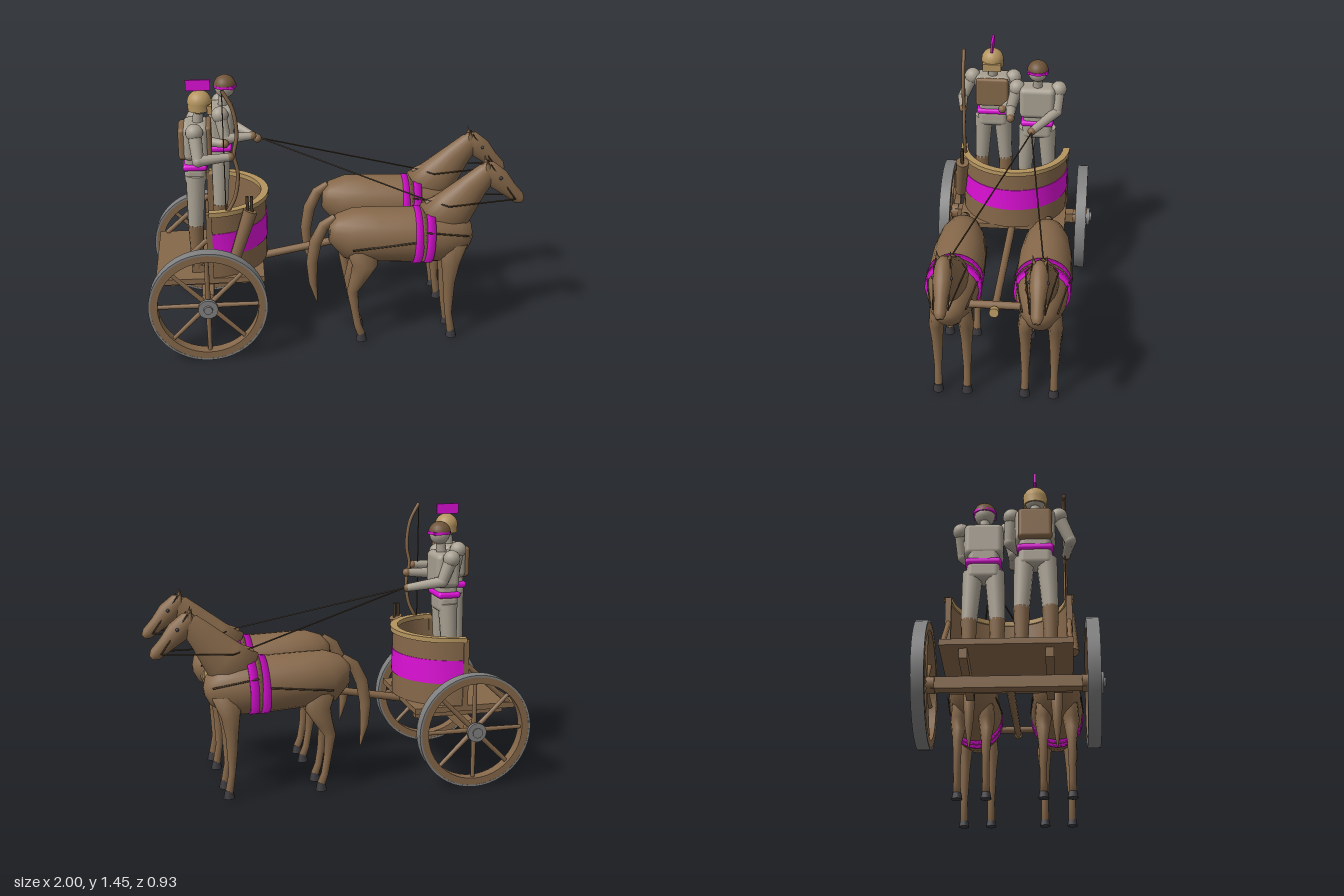
import * as THREE from 'three';
import { toCreasedNormals } from 'three/addons/utils/BufferGeometryUtils.js';
import { RoundedBoxGeometry } from 'three/addons/geometries/RoundedBoxGeometry.js';

const mat = (name, color, side = THREE.FrontSide) =>
  Object.assign(new THREE.MeshStandardMaterial({ color, side }), { name });
const V = (p) => new THREE.Vector3(...p);

export function createModel() {
  const M = {
    brown: mat('brown', 0x86684a, THREE.DoubleSide), gold: mat('gold', 0xb4945f, THREE.DoubleSide),
    cloth: mat('grey cloth', 0xa8a092), magenta: mat('magenta', 0xdd10d6, THREE.DoubleSide),
    iron: mat('iron grey', 0x808080), hoof: mat('dark hoof', 0x3a383c), strap: mat('dark strap', 0x4a3a28),
    hair: mat('hair brown', 0x6e5338),
  };
  const model = new THREE.Group();
  model.name = 'chariot';
  const group = (name, parent = model) => {
    const g = new THREE.Group();
    g.name = name;
    parent.add(g);
    return g;
  };
  const add = (parent, name, geo, m, p = [0, 0, 0], r = [0, 0, 0]) => {
    const mesh = new THREE.Mesh(geo, m);
    mesh.name = name;
    mesh.position.set(...p);
    mesh.rotation.set(...r);
    parent.add(mesh);
    return mesh;
  };
  const box = (parent, name, size, m, p, r) => add(parent, name, new THREE.BoxGeometry(...size), m, p, r);
  const ball = (parent, name, r, m, p) => add(parent, name, new THREE.SphereGeometry(r, 16, 12), m, p);
  // Round bar between two points
  const rod = (parent, name, a, b, r1, r2, m, sides = 12) => {
    const d = V(b).sub(V(a));
    const mesh = add(parent, name, new THREE.CylinderGeometry(r2, r1, d.length(), sides), m);
    mesh.position.copy(V(a)).addScaledVector(d, 0.5);
    mesh.quaternion.setFromUnitVectors(new THREE.Vector3(0, 1, 0), d.normalize());
    return mesh;
  };
  // Skin over oval rings [x, y, in-plane radius, z radius, z]
  const loft = (rings, n = 20) => {
    const pos = [], idx = [], last = rings.length - 1;
    rings.forEach(([x, y, r, rz, z = 0], i) => {
      const a = rings[Math.max(i - 1, 0)], b = rings[Math.min(i + 1, last)];
      const l = Math.hypot(b[0] - a[0], b[1] - a[1]);
      const tx = (b[0] - a[0]) / l, ty = (b[1] - a[1]) / l;
      for (let j = 0; j < n; j++) {
        const t = (j / n) * Math.PI * 2, c = Math.cos(t) * r;
        pos.push(x - ty * c, y + tx * c, z + Math.sin(t) * rz);
        const k = (j + 1) % n;
        if (i < last) idx.push(i * n + j, i * n + k, i * n + n + j, i * n + k, i * n + n + k, i * n + n + j);
      }
    });
    for (const i of [0, last]) {
      const c = pos.length / 3;
      pos.push(rings[i][0], rings[i][1], rings[i][4] || 0);
      for (let j = 0; j < n; j++) {
        const p = i * n + j, q = i * n + (j + 1) % n;
        idx.push(...(i ? [c, p, q] : [c, q, p]));
      }
    }
    const g = new THREE.BufferGeometry();
    g.setAttribute('position', new THREE.Float32BufferAttribute(pos, 3));
    g.setIndex(idx);
    g.computeVertexNormals();
    return g;
  };
  // Lathed band of rectangular section
  const ring = (r0, r1, y0, y1, seg = 48, len = Math.PI * 2) => toCreasedNormals(new THREE.LatheGeometry(
    [[r0, y0], [r1, y0], [r1, y1], [r0, y1], [r0, y0]].map((p) => new THREE.Vector2(...p)), seg, 0, len), 0.6);

  // Wheels, hubs and axle
  for (const s of [1, -1]) {
    const w = group(s > 0 ? 'leftWheel' : 'rightWheel');
    w.position.set(-0.69, 0.31, s * 0.4);
    w.rotation.x = Math.PI / 2;
    add(w, 'rim', ring(0.262, 0.301, -0.03, 0.03), M.brown);
    add(w, 'tyre', ring(0.299, 0.31, -0.031, 0.031), M.iron);
    for (let i = 0; i < 8; i++) {
      const a = (i * Math.PI) / 4, c = Math.cos(a), n = Math.sin(a);
      rod(w, 'spoke', [c * 0.04, 0, n * 0.04], [c * 0.27, 0, n * 0.27], 0.014, 0.011, M.brown, 8);
    }
    add(w, 'hub', new THREE.CylinderGeometry(0.042, 0.042, 0.1, 20), M.brown);
    add(w, 'hubBand', new THREE.CylinderGeometry(0.052, 0.052, 0.02, 20), M.iron, [0, s * 0.042, 0]);
    add(w, 'axleCap', new THREE.CylinderGeometry(0.022, 0.028, 0.03, 12), M.iron, [0, s * 0.048, 0]);
  }
  box(model, 'axle', [0.06, 0.06, 0.74], M.brown, [-0.69, 0.31, 0]);

  // Car: floor, curved front wall, band and rail
  const car = group('car');
  box(car, 'floor', [0.57, 0.03, 0.62], M.brown, [-0.675, 0.405, 0]);
  for (const z of [-0.2, 0.2]) box(car, 'floorBeam', [0.5, 0.05, 0.04], M.brown, [-0.67, 0.365, z]);
  const wall = (name, r0, r1, y0, y1, m) =>
    add(car, name, ring(r0, r1, y0, y1, 20, Math.PI), m, [-0.67, 0, 0]);
  wall('frontWall', 0.288, 0.306, 0.42, 0.78, M.brown);
  wall('paintedBand', 0.304, 0.31, 0.54, 0.67, M.magenta);
  wall('topRail', 0.28, 0.32, 0.77, 0.795, M.gold);
  for (const s of [1, -1]) {
    box(car, 'wallPost', [0.03, 0.37, 0.03], M.brown, [-0.67, 0.6, s * 0.297]);
    rod(car, 'sideStrut', [-0.67, 0.65, s * 0.295], [-0.92, 0.42, s * 0.295], 0.014, 0.014, M.brown, 8);
  }
  // Quiver on the outside of the wall
  rod(car, 'quiver', [-0.54, 0.54, 0.315], [-0.455, 0.79, 0.29], 0.03, 0.038, M.brown, 10);
  for (const d of [-0.01, 0.012]) rod(car, 'arrows', [-0.46 + d, 0.75, 0.29], [-0.46 + d, 0.87, 0.29], 0.009, 0.009, M.strap, 6);

  // Draught pole and yoke
  rod(model, 'pole', [-0.5, 0.375, 0], [0.68, 0.595, 0], 0.022, 0.019, M.brown);
  rod(model, 'yoke', [0.635, 0.605, -0.23], [0.635, 0.605, 0.23], 0.02, 0.02, M.brown);
  rod(model, 'poleEnd', [0.665, 0.593, 0], [0.695, 0.598, 0], 0.025, 0.025, M.gold);

  // Horses
  const trunk = [[-0.042, 0.65, 0.03, 0.04], [-0.02, 0.65, 0.08, 0.08], [0.06, 0.617, 0.14, 0.12],
    [0.2, 0.605, 0.147, 0.14], [0.4, 0.595, 0.15, 0.145], [0.55, 0.587, 0.145, 0.13],
    [0.65, 0.585, 0.12, 0.1], [0.705, 0.577, 0.075, 0.065], [0.725, 0.575, 0.02, 0.02]];
  const neck = [[0.52, 0.66, 0.13, 0.09], [0.62, 0.74, 0.115, 0.08], [0.72, 0.86, 0.078, 0.055],
    [0.79, 0.935, 0.058, 0.043], [0.82, 0.965, 0.03, 0.03]];
  const head = [[0.765, 0.975, 0.018, 0.02], [0.79, 0.955, 0.05, 0.042], [0.85, 0.895, 0.06, 0.047],
    [0.91, 0.835, 0.043, 0.034], [0.965, 0.785, 0.034, 0.03], [0.985, 0.768, 0.016, 0.018]];
  const tail = [[-0.01, 0.71, 0.02, 0.02], [-0.07, 0.665, 0.03, 0.026], [-0.115, 0.57, 0.033, 0.031],
    [-0.135, 0.45, 0.03, 0.03], [-0.13, 0.33, 0.022, 0.022], [-0.108, 0.21, 0.003, 0.004]];
  for (const side of [1, -1]) {
    const h = group(side > 0 ? 'leftHorse' : 'rightHorse');
    h.position.z = side * 0.23;
    for (const [name, rings] of Object.entries({ body: trunk, neck, head, tail })) add(h, name, loft(rings), M.brown);
    for (const s of [1, -1]) {
      const z = s * 0.077;
      add(h, 'hindLeg', loft([[0.12, 0.58, 0.09, 0.05, z * 0.8], [0.14, 0.46, 0.068, 0.045, z], [0.105, 0.38, 0.045, 0.034, z],
        [0.075, 0.31, 0.03, 0.025, z], [0.09, 0.19, 0.021, 0.02, z], [0.105, 0.1, 0.02, 0.019, z], [0.125, 0.045, 0.022, 0.022, z]], 12), M.brown);
      add(h, 'foreLeg', loft([[0.61, 0.56, 0.085, 0.045, z * 0.8], [0.6, 0.45, 0.05, 0.04, z], [0.595, 0.34, 0.033, 0.03, z],
        [0.595, 0.27, 0.029, 0.027, z], [0.598, 0.15, 0.019, 0.02, z], [0.615, 0.045, 0.022, 0.022, z]], 12), M.brown);
      for (const x of [0.125, 0.617]) add(h, 'hoof', new THREE.CylinderGeometry(0.021, 0.03, 0.045, 12), M.hoof, [x, 0.033, z]);
      add(h, 'ear', new THREE.ConeGeometry(0.016, 0.065, 8), M.brown, [0.785, 0.99, s * 0.03], [s * 0.15, 0, 0.15]);
      ball(h, 'eye', 0.009, M.hoof, [0.855, 0.915, s * 0.044]);
      // Traces, bridle and neck rein
      rod(h, 'trace', [0.07, 0.57, s * 0.13], [0.4, 0.61, s * 0.148], 0.005, 0.005, M.strap, 6);
      rod(h, 'breastStrap', [0.46, 0.66, s * 0.138], [0.69, 0.61, s * 0.09], 0.005, 0.005, M.strap, 6);
      rod(h, 'neckRein', [0.47, 0.79, 0], [0.58, 0.78, s * 0.082], 0.004, 0.004, M.strap, 6);
      rod(h, 'neckRein', [0.58, 0.78, s * 0.082], [0.94, 0.79, s * 0.036], 0.004, 0.004, M.strap, 6);
      rod(h, 'bridle', [0.8, 0.99, s * 0.035], [0.94, 0.79, s * 0.036], 0.004, 0.004, M.strap, 6);
    }
    for (const x of [0.422, 0.482]) add(h, 'girth', loft([[x - 0.022, 0.594, 0.155, 0.149], [x + 0.022, 0.592, 0.154, 0.147]], 28), M.magenta);
    add(h, 'girthMiddle', loft([[0.44, 0.594, 0.153, 0.147], [0.465, 0.594, 0.153, 0.147]], 28), M.brown);
    rod(h, 'neckPad', [0.47, 0.765, 0], [0.56, 0.8, 0], 0.022, 0.025, M.brown);
    rod(model, 'rein', [-0.38, 1.04, -0.11], [0.47, 0.79, side * 0.23], 0.004, 0.004, M.strap, 6);
  }

  // Riders: arms are [side, elbow, hand] in model space
  const rider = (name, x, z, arms) => {
    const g = group(name);
    for (const s of [1, -1]) {
      const lz = z + s * 0.055, fz = z + s * 0.07;
      rod(g, 'thigh', [x, 0.96, lz], [x - 0.01, 0.68, fz], 0.052, 0.04, M.cloth);
      rod(g, 'boot', [x - 0.01, 0.69, fz], [x - 0.01, 0.44, fz], 0.041, 0.03, M.brown);
      box(g, 'foot', [0.12, 0.04, 0.055], M.brown, [x + 0.02, 0.44, fz]);
    }
    add(g, 'hips', new RoundedBoxGeometry(0.11, 0.1, 0.17, 3, 0.03), M.cloth, [x, 0.96, z]);
    add(g, 'belt', new RoundedBoxGeometry(0.125, 0.034, 0.185, 3, 0.015), M.magenta, [x, 1.008, z]);
    add(g, 'waist', new RoundedBoxGeometry(0.105, 0.12, 0.16, 3, 0.03), M.cloth, [x, 1.05, z]);
    add(g, 'chest', new RoundedBoxGeometry(0.13, 0.185, 0.2, 3, 0.03), M.cloth, [x + 0.01, 1.14, z]);
    rod(g, 'neck', [x + 0.02, 1.21, z], [x + 0.03, 1.3, z], 0.028, 0.026, M.cloth);
    ball(g, 'head', 0.054, M.cloth, [x + 0.035, 1.325, z]);
    for (const [s, elbow, hand] of arms) {
      const sh = [x + 0.005, 1.212, z + s * 0.118];
      ball(g, 'shoulder', 0.045, M.cloth, sh);
      rod(g, 'upperArm', sh, elbow, 0.036, 0.03, M.cloth);
      ball(g, 'elbow', 0.031, M.cloth, elbow);
      rod(g, 'forearm', elbow, hand, 0.03, 0.021, M.cloth);
      ball(g, 'hand', 0.023, M.brown, hand);
    }
    return g;
  };
  const cap = (r) => new THREE.SphereGeometry(r, 20, 10, 0, Math.PI * 2, 0, Math.PI * 0.52);

  // Driver with cap of hair and headband
  const driver = rider('driver', -0.6, -0.13, [
    [1, [-0.57, 1.09, 0.02], [-0.43, 1.1, 0.012]], [-1, [-0.55, 1.09, -0.24], [-0.4, 1.04, -0.11]]]);
  add(driver, 'hair', cap(0.06), M.hair, [-0.565, 1.335, -0.13]);
  add(driver, 'headband', ring(0.054, 0.0615, -0.007, 0.007, 24), M.magenta, [-0.563, 1.336, -0.13]);
  for (const s of [1, -1]) box(driver, 'bandKnot', [0.02, 0.016, 0.025], M.magenta, [-0.53, 1.335, -0.13 + s * 0.045]);

  // Archer with crested helmet, breastplate, back plate and bow
  const archer = rider('archer', -0.73, 0.135, [
    [1, [-0.71, 1.08, 0.31], [-0.55, 1.09, 0.29]], [-1, [-0.7, 1.08, 0.005], [-0.575, 1.08, 0.07]]]);
  add(archer, 'helmet', cap(0.063), M.gold, [-0.695, 1.335, 0.135]);
  add(archer, 'helmetBack', ring(0.053, 0.061, -0.04, 0.005, 24), M.gold, [-0.697, 1.335, 0.135]).scale.set(0.95, 1, 1);
  box(archer, 'faceGuard', [0.025, 0.042, 0.105], M.gold, [-0.645, 1.305, 0.135]);
  box(archer, 'crest', [0.125, 0.055, 0.013], M.magenta, [-0.7, 1.424, 0.135]);
  add(archer, 'breastplate', new RoundedBoxGeometry(0.03, 0.17, 0.185, 3, 0.014), M.brown, [-0.655, 1.145, 0.135]);
  add(archer, 'backPlate', new RoundedBoxGeometry(0.05, 0.17, 0.17, 3, 0.02), M.brown, [-0.785, 1.135, 0.135]);
  const bow = new THREE.CatmullRomCurve3([[-0.58, 1.44], [-0.53, 1.34], [-0.513, 1.2], [-0.53, 1.1], [-0.513, 1, 0], [-0.53, 0.87], [-0.58, 0.77]]
    .map(([x, y]) => new THREE.Vector3(x, y, 0.283)));
  add(archer, 'bow', new THREE.TubeGeometry(bow, 32, 0.01, 8), M.brown);
  rod(archer, 'bowString', [-0.58, 1.44, 0.283], [-0.58, 0.77, 0.283], 0.003, 0.003, M.strap, 6);
  return model;
}
